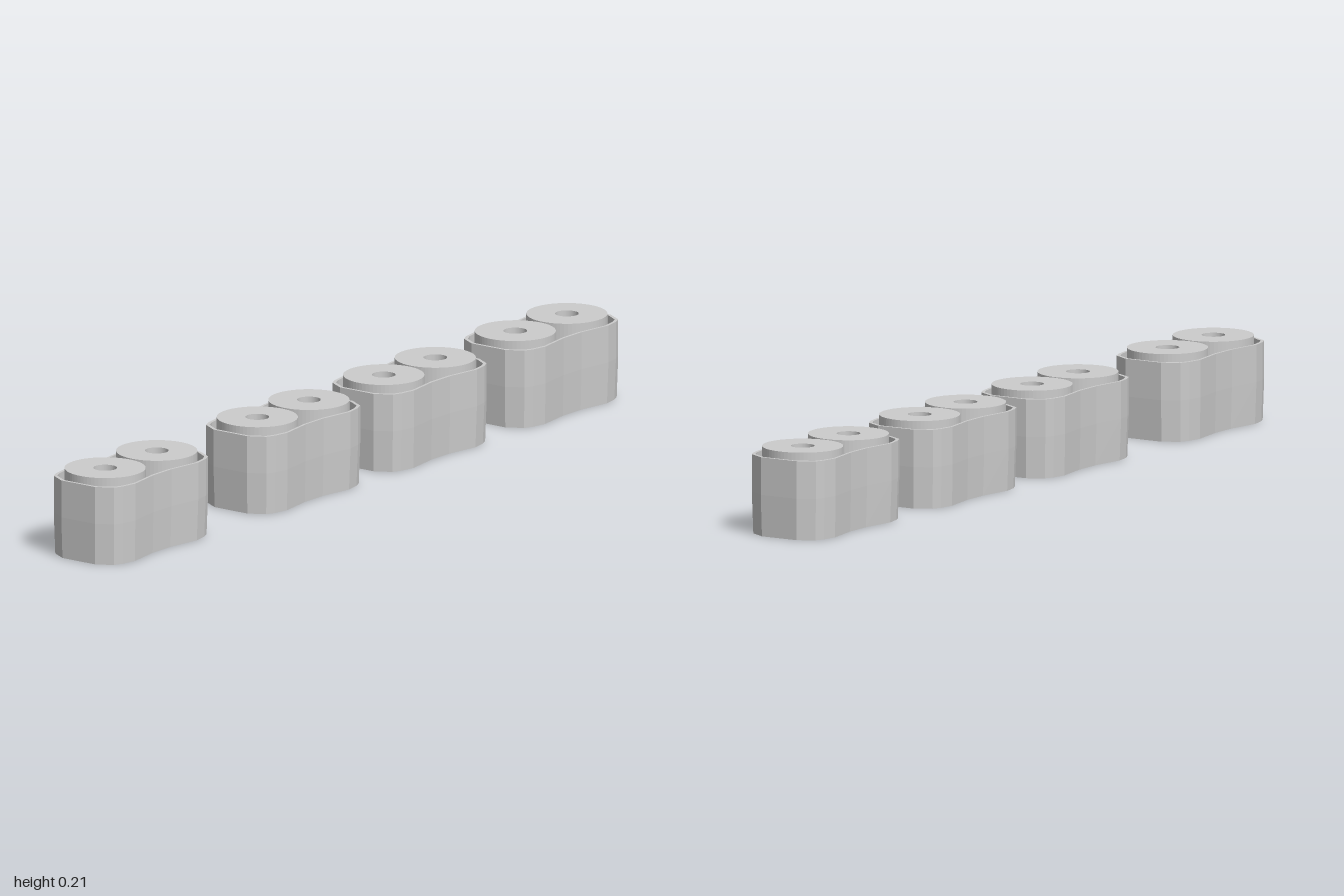
import * as THREE from 'three';

const HALF_W = 0.107, HALF_L = 0.205, RIM = 0.19, WALL = 0.007;

// Waisted outline, one quarter (x, z) mirrored to a full loop, anticlockwise from above
function outline() {
  const quarter = [[0.05, HALF_L], [0.09, 0.182], [0.1, 0.16], [HALF_W, 0.122], [0.094, 0.035]];
  const right = [...quarter, ...quarter.map(([x, z]) => [x, -z]).reverse()];
  return [...right, ...right.map(([x, z]) => [-x, z]).reverse()];
}

// Open tray: rings run from the underside up the outside, over the rim, down to the inner floor
function trayGeometry() {
  const loop = outline(), n = loop.length;
  const rings = [ // height, inset from the outline (null = centre point)
    [0, null], [0, 0.003], [0.1, 0], [RIM, 0],
    [RIM, WALL], [0.012, WALL], [0.012, null],
  ];
  const position = [], index = [];
  for (const [y, inset] of rings) {
    const sx = inset === null ? 0 : 1 - inset / HALF_W;
    const sz = inset === null ? 0 : 1 - inset / HALF_L;
    for (const [x, z] of loop) position.push(x * sx, y, z * sz);
  }
  for (let r = 0; r < rings.length - 1; r++) {
    for (let i = 0; i < n; i++) {
      const a = r * n + i, b = r * n + (i + 1) % n;
      if (rings[r][1] !== null) index.push(a, b, b + n);
      else index.push(a, b + n, a + n);
      if (rings[r][1] !== null && rings[r + 1][1] !== null) index.push(a, b + n, a + n);
    }
  }
  const geometry = new THREE.BufferGeometry();
  geometry.setAttribute('position', new THREE.Float32BufferAttribute(position, 3));
  geometry.setIndex(index);
  const flat = geometry.toNonIndexed();
  flat.computeVertexNormals();
  return flat;
}

// Roll: a disc with a round bore through it
function rollGeometry() {
  const shape = new THREE.Shape().absarc(0, 0, 0.096, 0, Math.PI * 2, false);
  shape.holes.push(new THREE.Path().absarc(0, 0, 0.028, 0, Math.PI * 2, true));
  const geometry = new THREE.ExtrudeGeometry(shape, { depth: 0.194, bevelEnabled: false, curveSegments: 32 });
  return geometry.rotateX(-Math.PI / 2).translate(0, 0.013, 0);
}

export function createModel() {
  const model = new THREE.Group();
  model.name = 'rowOfTwinRollTrays';
  const material = new THREE.MeshStandardMaterial({ color: 0xcccccc, flatShading: true });
  const tray = trayGeometry(), roll = rollGeometry();

  // Four unevenly spaced trays, each holding two rolls
  [0.795, 0.205, -0.285, -0.795].forEach((z, i) => {
    const unit = new THREE.Group();
    unit.name = `trayUnit${i + 1}`;
    unit.position.z = z;
    const shell = new THREE.Mesh(tray, material);
    shell.name = 'tray';
    unit.add(shell);
    for (const side of [1, -1]) {
      const mesh = new THREE.Mesh(roll, material);
      mesh.name = side > 0 ? 'frontRoll' : 'backRoll';
      mesh.position.z = side * 0.1;
      unit.add(mesh);
    }
    model.add(unit);
  });
  return model;
}
